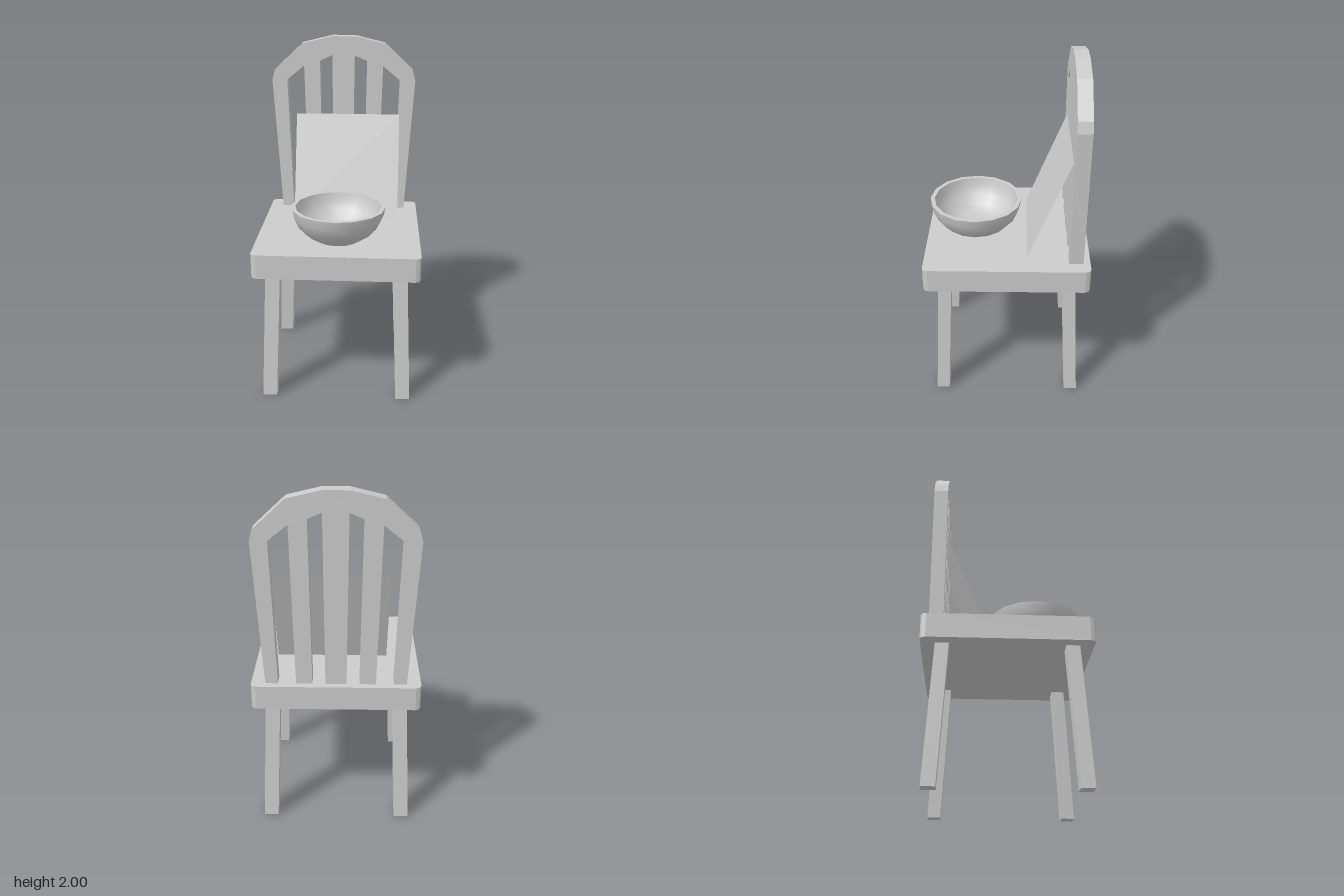
import * as THREE from 'three';

const grey = new THREE.MeshStandardMaterial({ color: 0xcccccc });
const twoSided = new THREE.MeshStandardMaterial({ color: 0xcccccc, side: THREE.DoubleSide });

function part(name, geometry, material = grey) {
  const mesh = new THREE.Mesh(geometry, material);
  mesh.name = name;
  return mesh;
}

// Extrude a 2D outline given as [x, y] pairs
function slab(points, depth) {
  const shape = new THREE.Shape(points.map(([x, y]) => new THREE.Vector2(x, y)));
  return new THREE.ExtrudeGeometry(shape, { depth, bevelEnabled: false });
}

// Square seat with small clipped corners
function createSeat() {
  const h = 0.47, c = 0.03, m = 0.009;
  const corner = [[h, h - c], [h - m, h - m], [h - c, h]];
  const outline = [];
  for (let i = 0; i < 4; i++) {
    const cos = [1, 0, -1, 0][i], sin = [0, 1, 0, -1][i];
    corner.forEach(([x, y]) => outline.push([x * cos - y * sin, x * sin + y * cos]));
  }
  const geometry = slab(outline, 0.14);
  geometry.rotateX(-Math.PI / 2).translate(0, 0.78, 0);
  return part('seat', geometry);
}

// Square leg leaning outwards towards the floor
function createLeg(name, sx, sz) {
  const height = 0.79;
  const geometry = new THREE.BoxGeometry(0.083, height, 0.075);
  geometry.translate(0, height / 2, 0);
  const p = geometry.attributes.position;
  for (let i = 0; i < p.count; i++) {
    const t = p.getY(i) / height;
    p.setX(i, p.getX(i) + sx * (0.392 - 0.034 * t));
    p.setZ(i, p.getZ(i) + sz * (0.393 - 0.04 * t));
  }
  geometry.computeVertexNormals();
  return part(name, geometry);
}

// Arched backrest with two posts and three slats, all one board
function createBackrest() {
  const outer = [[0.39, 0.92], [0.437, 1.74], [0.42, 1.8], [0.25, 1.957], [0.07, 2]];
  const inner = [
    [-0.32, 0.92], [-0.345, 1.74], [-0.24, 1.825], [-0.22, 0.92],
    [-0.13, 0.92], [-0.143, 1.855], [-0.068, 1.888], [-0.058, 0.92],
  ];
  const mirror = (list) => list.map(([x, y]) => [-x, y]).reverse();
  const geometry = slab([...outer, ...mirror(outer), ...inner, ...mirror(inner)], 0.08);
  geometry.translate(0, 0, -0.43);
  return part('backrest', geometry);
}

// Thin sheet leaning against the backrest
function createSheet() {
  const rise = 0.595, run = 0.235;
  const geometry = new THREE.PlaneGeometry(0.635, Math.hypot(rise, run));
  geometry.rotateX(-Math.atan2(run, rise));
  geometry.translate(0.028, 0.935 + rise / 2, -0.115 - run / 2);
  return part('leaningSheet', geometry, twoSided);
}

// Bowl in separate lathes so the rim and foot stay sharp
function createBowl() {
  const bowl = new THREE.Group();
  bowl.name = 'bowl';
  const profiles = {
    bowlFoot: [[0, 0.921], [0.13, 0.921]],
    bowlOutside: [[0.13, 0.921], [0.19, 0.96], [0.235, 1.01], [0.26, 1.065], [0.27, 1.115]],
    bowlRim: [[0.27, 1.115], [0.245, 1.115]],
    bowlInside: [[0.245, 1.115], [0.235, 1.065], [0.21, 1.02], [0.17, 0.975], [0.12, 0.945], [0.06, 0.94], [0, 0.94]],
  };
  for (const [name, profile] of Object.entries(profiles)) {
    const points = profile.map(([r, y]) => new THREE.Vector2(r, y));
    bowl.add(part(name, new THREE.LatheGeometry(points, 16)));
  }
  bowl.position.z = 0.187;
  return bowl;
}

export function createModel() {
  const model = new THREE.Group();
  model.name = 'chairWithBowl';
  model.add(createSeat(), createBackrest(), createSheet(), createBowl());
  for (const [side, sx] of [['Left', 1], ['Right', -1]]) {
    model.add(createLeg('front' + side + 'Leg', sx, 1));
    model.add(createLeg('back' + side + 'Leg', sx, -1));
  }
  return model;
}
